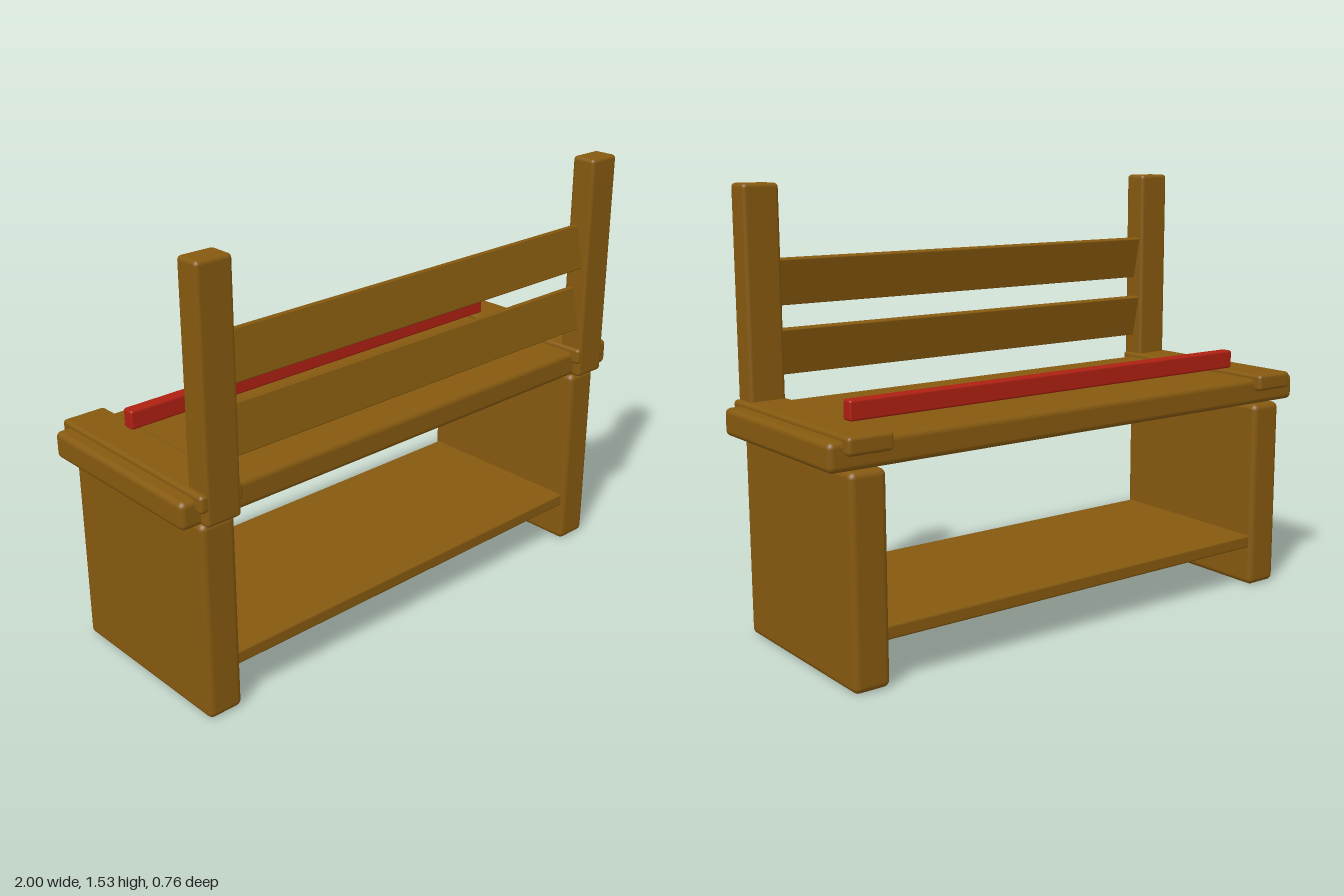
import * as THREE from 'three';
import { RoundedBoxGeometry } from 'three/addons/geometries/RoundedBoxGeometry.js';

export function createModel() {
  const bench = new THREE.Group();
  bench.name = 'bench';
  const wood = new THREE.MeshStandardMaterial({ color: 0x85590f });
  wood.name = 'brown wood';
  const red = new THREE.MeshStandardMaterial({ color: 0xae2012 });
  red.name = 'red paint';

  // Rounded block given by its limits on each axis
  function block(name, [x0, x1], [y0, y1], [z0, z1], radius, material = wood) {
    const geometry = new RoundedBoxGeometry(x1 - x0, y1 - y0, z1 - z0, 3, radius);
    const mesh = new THREE.Mesh(geometry, material);
    mesh.name = name;
    mesh.position.set((x0 + x1) / 2, (y0 + y1) / 2, (z0 + z1) / 2);
    bench.add(mesh);
    return mesh;
  }

  // Seat plank and lower shelf
  block('seat', [-1, 1], [0.705, 0.8], [-0.35, 0.35], 0.02);
  block('shelf', [-0.82, 0.82], [0.147, 0.195], [-0.335, 0.335], 0.008);

  // Side panels, seat cleats and back posts, mirrored left and right
  for (const [side, s] of [['left', 1], ['right', -1]]) {
    const span = (a, b) => (s > 0 ? [a, b] : [-b, -a]);
    block(side + 'SidePanel', span(0.8, 0.93), [0, 0.7], [-0.35, 0.35], 0.022);
    block(side + 'SeatCleat', span(0.79, 0.95), [0.757, 0.817], [-0.38, 0.38], 0.013);
    block(side + 'BackPost', span(0.8, 0.93), [0.705, 1.533], [0.288, 0.382], 0.014);
  }

  // Tilted back slats
  [['lowerBackSlat', 0.97], ['upperBackSlat', 1.205]].forEach(([name, y]) => {
    const slat = block(name, [-0.82, 0.82], [y - 0.08, y + 0.08], [0.317, 0.345], 0.004);
    slat.rotation.x = -0.2;
  });

  // Red bar lying along the seat
  block('redBar', [-0.833, 0.833], [0.818, 0.885], [-0.191, -0.145], 0.008, red);

  return bench;
}
